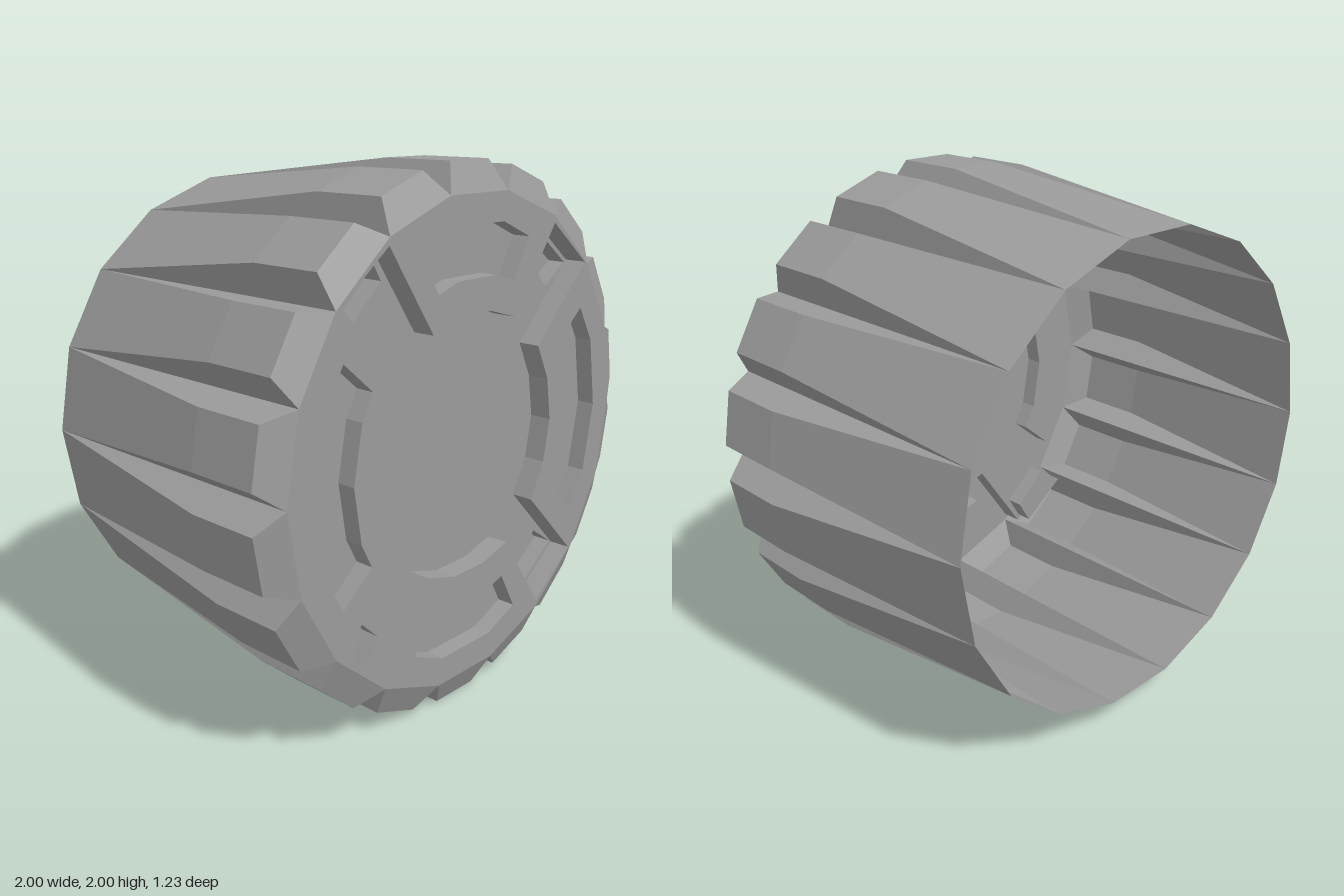
import * as THREE from 'three';

const FRONT = 0.615, RECESS = 0.085, SLOT = 0.07, POCKET = 0.07;
const TEETH = 18, STEP = (Math.PI * 2) / TEETH;
const RIM = 0.904, TIP = 1.003, TIP_HALF = 0.104; // half angle of a tooth tip

const material = new THREE.MeshStandardMaterial({
  color: 0x9a9a9a, flatShading: true, side: THREE.DoubleSide,
});

const polar = (r, a) => [r * Math.cos(a), r * Math.sin(a)];
const mirror = (pts, sx, sy) => pts.map(([x, y]) => [x * sx, y * sy]);
const toVectors = (pts) => pts.map(([x, y]) => new THREE.Vector2(x, y));

function addMesh(group, name, geometry) {
  const mesh = new THREE.Mesh(geometry, material);
  mesh.name = name;
  group.add(mesh);
}

function fromTriangles(positions) {
  const g = new THREE.BufferGeometry();
  g.setAttribute('position', new THREE.Float32BufferAttribute(positions, 3));
  g.computeVertexNormals();
  return g;
}

// Flat panel facing +z, with optional cut-outs
function panel(outline, holes, z) {
  const shape = new THREE.Shape(toVectors(outline));
  holes.forEach((h) => shape.holes.push(new THREE.Path(toVectors(h))));
  return new THREE.ShapeGeometry(shape).translate(0, 0, z);
}

// Upright walls between two depths around a closed outline
function walls(outline, zTop, zBottom) {
  const out = [];
  outline.forEach((p, i) => {
    const q = outline[(i + 1) % outline.length];
    out.push(...p, zTop, ...q, zTop, ...q, zBottom, ...p, zTop, ...q, zBottom, ...p, zBottom);
  });
  return fromTriangles(out);
}

// Toothed skirt: grooves run out to nothing at the open back
function skirt() {
  const sections = [[FRONT, false], [0.565, true], [0.28, true], [-FRONT, false]];
  const out = [];
  for (let t = 0; t < TEETH; t++) {
    const mid = (t + 0.5) * STEP;
    const v1 = polar(RIM, mid - STEP / 2), v2 = polar(RIM, mid + STEP / 2);
    const o1 = polar(TIP, mid - TIP_HALF), o2 = polar(TIP, mid + TIP_HALF);
    const rows = sections.map(([z, full]) =>
      (full ? [v1, o1, o2, v2] : [v1, v1, v2, v2]).map((p) => [...p, z]));
    for (let s = 0; s < rows.length - 1; s++) {
      for (let k = 0; k < 3; k++) {
        const a = rows[s][k], b = rows[s][k + 1], c = rows[s + 1][k + 1], d = rows[s + 1][k];
        const same = (p, q) => p.every((v, i) => v === q[i]);
        if (!same(c, d)) out.push(...a, ...d, ...c);
        if (!same(a, b)) out.push(...a, ...c, ...b);
      }
    }
  }
  return fromTriangles(out);
}

export function createModel() {
  const model = new THREE.Group();
  model.name = 'toothedCap';

  const rim = Array.from({ length: TEETH }, (_, i) => polar(RIM, i * STEP));

  // Central recess with four diagonal arms, from one quarter of its outline
  const quarter = [[0.485, 0], [0.456, 0.166], [0.385, 0.305], [0.672, 0.59],
    [0.455, 0.755], [0.23, 0.437], [0.084, 0.478]];
  const top = [...quarter, ...mirror(quarter, -1, 1).reverse().slice(0, -1)];
  const recess = [...top, ...mirror(top, -1, -1)];

  // Curved slots in the four raised pads
  const topHalf = [[0.14, 0.785], [0.295, 0.72], [0.21, 0.57], [0.1, 0.603]];
  const topSlot = [...topHalf, ...mirror(topHalf, -1, 1).reverse()];
  const sideOuter = [[0.66, 0.413], [0.748, 0.272], [0.796, 0]];
  const sideInner = [[0.525, 0.3], [0.575, 0.209], [0.612, 0]];
  const fullArc = (arc) => [...arc, ...mirror(arc, 1, -1).reverse().slice(1)];
  const sideSlot = [...fullArc(sideOuter), ...fullArc(sideInner).reverse()];
  const slots = [topSlot, mirror(topSlot, 1, -1), sideSlot, mirror(sideSlot, -1, 1)];

  // Small pockets at the ends of the arms
  const pocket = [[0.658, 0.582], [0.46, 0.727], [0.4, 0.63], [0.54, 0.503]];
  const pockets = [[1, 1], [-1, 1], [-1, -1], [1, -1]].map(([sx, sy]) => mirror(pocket, sx, sy));

  const floor = FRONT - RECESS;
  const body = new THREE.Group();
  body.name = 'shell';
  addMesh(body, 'toothedSkirt', skirt());
  addMesh(body, 'facePlate', panel(rim, [recess, ...slots], FRONT));
  addMesh(body, 'recessWalls', walls(recess, FRONT, floor));
  addMesh(body, 'recessFloor', panel(recess, pockets, floor));
  slots.forEach((s) => {
    addMesh(body, 'slotWalls', walls(s, FRONT, FRONT - SLOT));
    addMesh(body, 'slotFloor', panel(s, [], FRONT - SLOT));
  });
  pockets.forEach((p) => {
    addMesh(body, 'pocketWalls', walls(p, floor, floor - POCKET));
    addMesh(body, 'pocketFloor', panel(p, [], floor - POCKET));
  });
  body.position.y = 1;
  model.add(body);
  return model;
}
